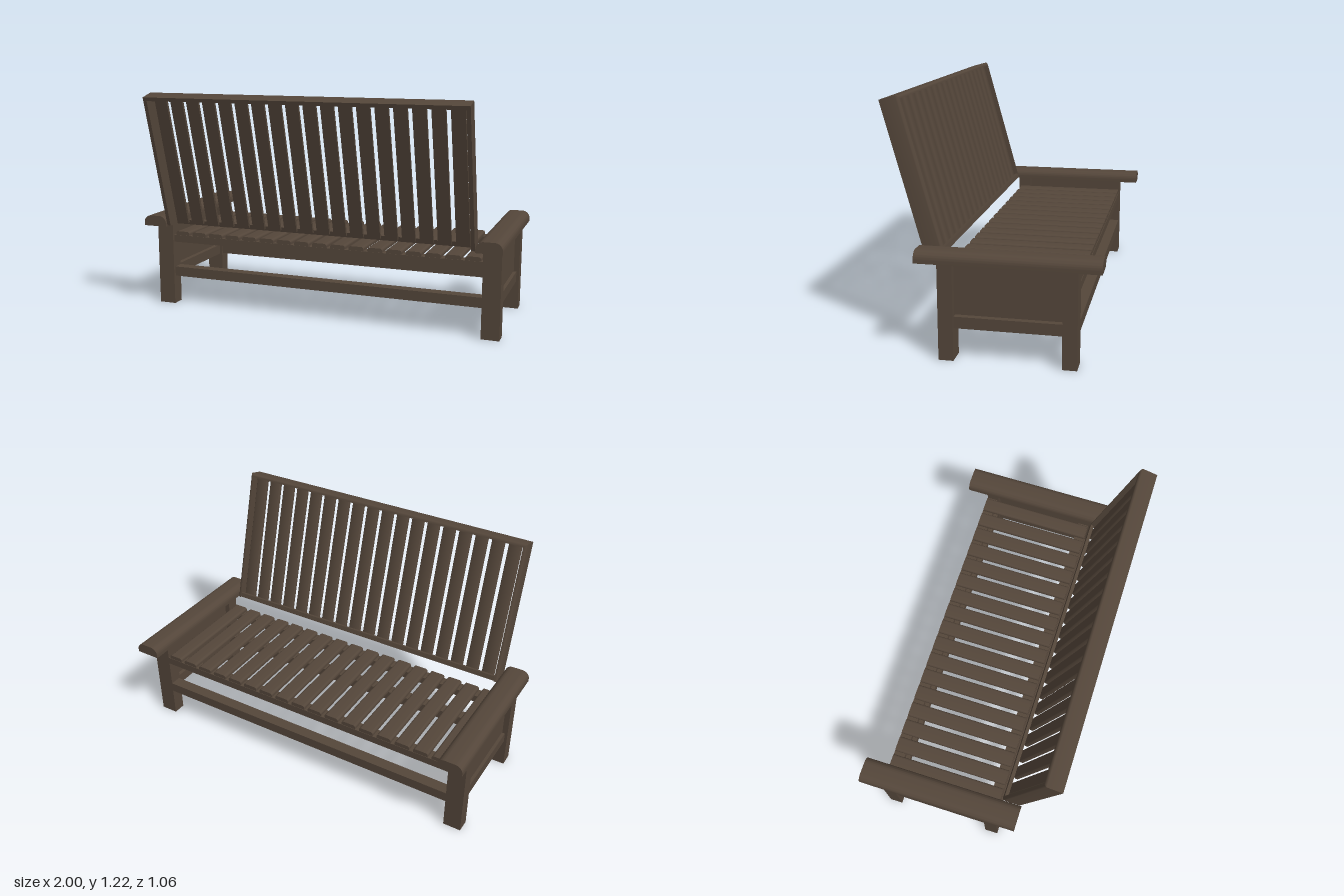
import * as THREE from 'three';
import { toCreasedNormals } from 'three/addons/utils/BufferGeometryUtils.js';

const wood = new THREE.MeshStandardMaterial({ color: 0x54463a });
wood.name = 'darkWood';

function add(parent, name, geometry, x = 0, y = 0, z = 0) {
  const mesh = new THREE.Mesh(geometry, wood);
  mesh.name = name;
  mesh.position.set(x, y, z);
  parent.add(mesh);
  return mesh;
}

// Box given by its limits on each axis
function block(parent, name, [x0, x1], [y0, y1], [z0, z1]) {
  return add(parent, name, new THREE.BoxGeometry(x1 - x0, y1 - y0, z1 - z0),
    (x0 + x1) / 2, (y0 + y1) / 2, (z0 + z1) / 2);
}

// Board along z with a flat underside at y = 0 and rounded upper edges
function roundedBoard(width, height, length, r) {
  const w = width / 2;
  const s = new THREE.Shape();
  s.moveTo(-w, 0);
  s.lineTo(w, 0);
  s.lineTo(w, height - r);
  s.absarc(w - r, height - r, r, 0, Math.PI / 2, false);
  s.lineTo(-w + r, height);
  s.absarc(-w + r, height - r, r, Math.PI / 2, Math.PI, false);
  s.closePath();
  const g = new THREE.ExtrudeGeometry(s, { depth: length, bevelEnabled: false, curveSegments: 6 });
  g.translate(0, 0, -length / 2);
  return toCreasedNormals(g, 0.6);
}

// Two sides and a top, mitred, with the outer front edge rounded
function backFrameGeometry(W, L, T, D, r, tilt) {
  const section = [[0, D]];
  for (let i = 0; i <= 5; i++) {
    const a = (i / 5) * Math.PI / 2;
    section.push([r - r * Math.cos(a), r - r * Math.sin(a)]);
  }
  section.push([T, 0], [T, D]);
  const n = section.length;
  const rings = [[-1, 0], [-1, 1], [1, 1], [1, 0]].map(([sx, top]) =>
    section.map(([t, d]) => [sx * (W - t), top ? L - t : d * Math.tan(tilt), d]));
  const pos = [];
  const tri = (a, b, c) => pos.push(...a, ...b, ...c);
  for (let k = 0; k < 3; k++) {
    for (let j = 0; j < n; j++) {
      const m = (j + 1) % n;
      const a = rings[k][j], b = rings[k][m], c = rings[k + 1][m], d = rings[k + 1][j];
      tri(a, d, c);
      tri(a, c, b);
    }
  }
  for (let j = 1; j < n - 1; j++) {
    tri(rings[0][0], rings[0][j], rings[0][j + 1]);
    tri(rings[3][0], rings[3][j + 1], rings[3][j]);
  }
  const g = new THREE.BufferGeometry();
  g.setAttribute('position', new THREE.Float32BufferAttribute(pos, 3));
  g.computeVertexNormals();
  return toCreasedNormals(g, 0.6);
}

export function createModel() {
  const bench = new THREE.Group();
  bench.name = 'slattedBench';

  // Ends: legs, lower rail, panel and armrest
  const armGeometry = roundedBoard(0.135, 0.058, 0.87, 0.04);
  for (const s of [-1, 1]) {
    const end = new THREE.Group();
    end.name = s > 0 ? 'leftEnd' : 'rightEnd';
    bench.add(end);
    const span = (a, b) => (s > 0 ? [a, b] : [-b, -a]);
    block(end, 'frontLeg', span(0.885, 0.98), [0, 0.472], [-0.42, -0.35]);
    block(end, 'backLeg', span(0.885, 0.98), [0, 0.472], [0.163, 0.235]);
    block(end, 'sideRail', span(0.9, 0.965), [0.157, 0.214], [-0.35, 0.163]);
    block(end, 'sidePanel', span(0.915, 0.95), [0.22, 0.467], [-0.35, 0.163]);
    add(end, 'armrest', armGeometry, s * 0.9325, 0.472, -0.095);
  }

  // Long rails at front and back
  for (const [side, z] of [['front', [-0.42, -0.358]], ['back', [0.16, 0.22]]]) {
    block(bench, side + 'SeatRail', [-0.885, 0.885], [0.36, 0.4], z);
    block(bench, side + 'LowerRail', [-0.885, 0.885], [0.16, 0.214], z);
  }

  // Seat slats
  const seat = new THREE.Group();
  seat.name = 'seat';
  bench.add(seat);
  const seatSlat = roundedBoard(0.082, 0.022, 0.635, 0.012);
  for (let i = -8; i <= 8; i++) add(seat, 'seatSlat', seatSlat, i * 0.104, 0.4, -0.1);

  // Leaning backrest: frame, bottom lip and upright slats
  const tilt = 0.27;
  const back = new THREE.Group();
  back.name = 'backrest';
  back.position.set(0, 0.478, 0.231);
  back.rotation.x = tilt;
  bench.add(back);
  add(back, 'backFrame', backFrameGeometry(0.862, 0.774, 0.02, 0.094, 0.018, tilt));
  block(back, 'backBottomRail', [-0.845, 0.845], [0.004, 0.03], [0.001, 0.02]);
  const backSlat = roundedBoard(0.07, 0.022, 0.734, 0.01);
  backSlat.rotateX(-Math.PI / 2);
  for (let i = 0; i < 18; i++) add(back, 'backSlat', backSlat, (i - 8.5) * 0.0932, 0.389, 0.042);

  return bench;
}
